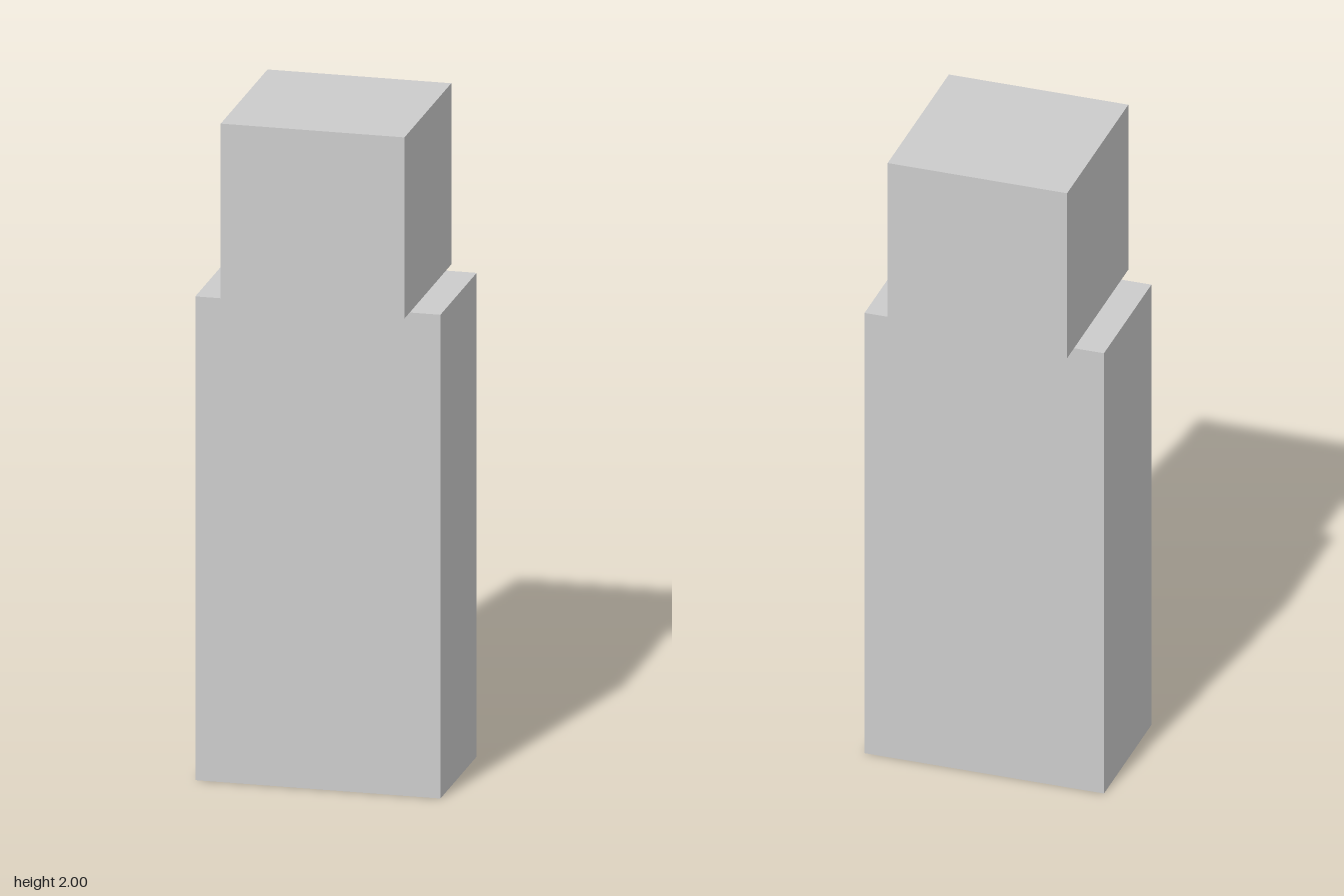
import * as THREE from 'three';

export function createModel() {
  const group = new THREE.Group();
  const material = new THREE.MeshStandardMaterial({ color: 0xcccccc, flatShading: true });

  // Adds a named box, centred on x and z, standing at height y
  const addBox = (name, width, height, depth, y) => {
    const mesh = new THREE.Mesh(new THREE.BoxGeometry(width, height, depth), material);
    mesh.name = name;
    mesh.position.y = y + height / 2;
    group.add(mesh);
  };

  const headSize = 0.545;
  const bodyHeight = 2 - headSize;

  // Upright slab body with a cubic head resting on top
  addBox('body', 0.727, bodyHeight, 0.422, 0);
  addBox('head', headSize, headSize, headSize, bodyHeight);

  return group;
}
